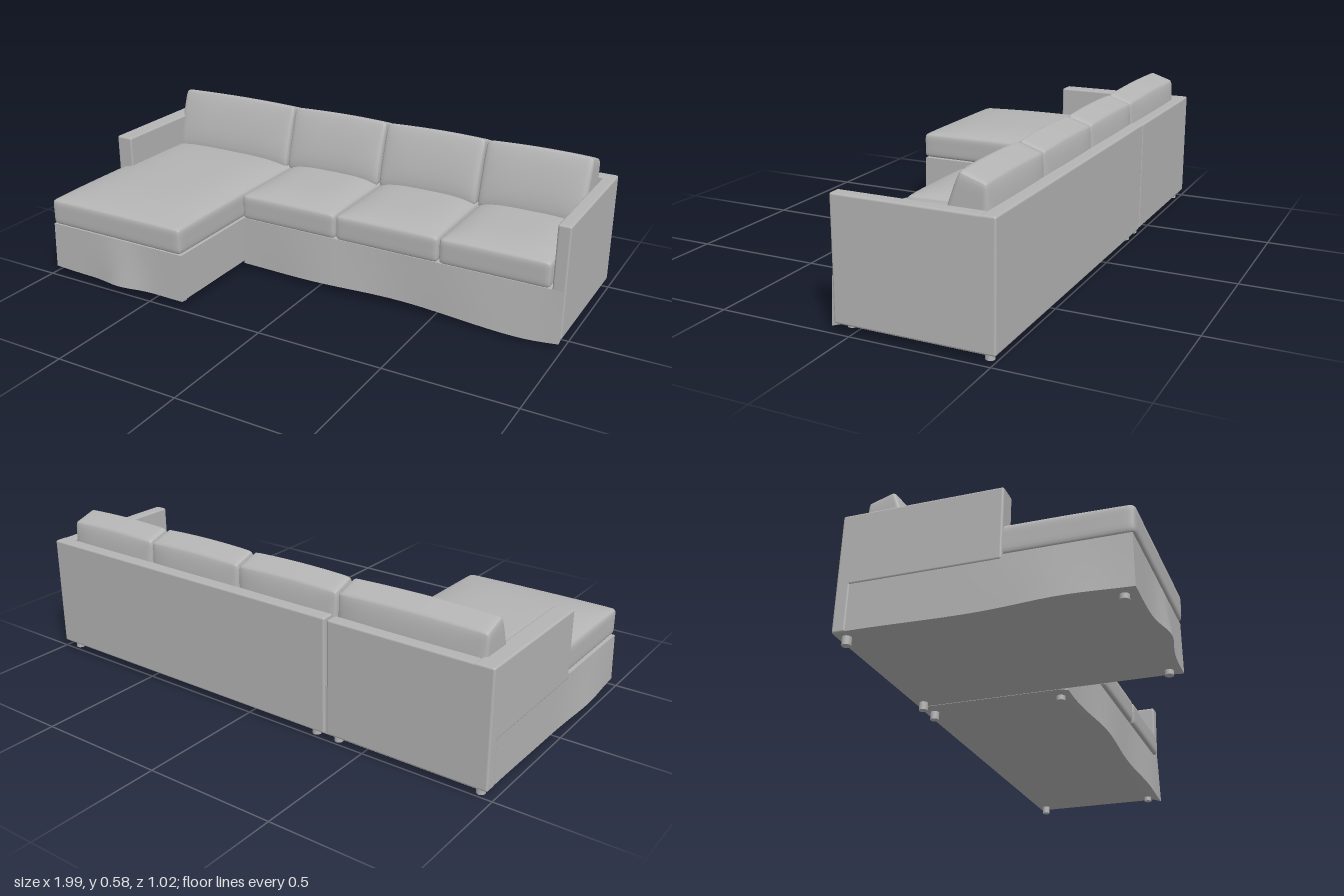
import * as THREE from 'three';
import { mergeVertices } from 'three/addons/utils/BufferGeometryUtils.js';
import { RoundedBoxGeometry } from 'three/addons/geometries/RoundedBoxGeometry.js';

const fabric = new THREE.MeshStandardMaterial({ color: 0xb4b4b4 });
fabric.name = 'grey fabric';

// Move every vertex of a geometry by a rule
function warp(geo, rule) {
  const p = geo.attributes.position, v = new THREE.Vector3();
  for (let i = 0; i < p.count; i++) {
    rule(v.fromBufferAttribute(p, i));
    p.setXYZ(i, v.x, v.y, v.z);
  }
  geo.computeVertexNormals();
  return geo;
}

function part(group, name, geo) {
  const mesh = new THREE.Mesh(geo, fabric);
  mesh.name = name;
  group.add(mesh);
  return mesh;
}

// Stuffed block between two corners: rounded edges, then a shaping rule given unit coordinates
function cushion([x0, x1], [y0, y1], [z0, z1], r, shape) {
  let geo = new THREE.BoxGeometry(2, 2, 2, 20, 10, 20);
  geo.deleteAttribute('uv');
  geo.deleteAttribute('normal');
  geo = mergeVertices(geo);
  const half = new THREE.Vector3(x1 - x0, y1 - y0, z1 - z0).multiplyScalar(0.5);
  const mid = new THREE.Vector3(x0 + x1, y0 + y1, z0 + z1).multiplyScalar(0.5);
  const core = half.clone().subScalar(r), low = core.clone().negate();
  const ease = t => Math.sin(t * Math.PI / 2);
  return warp(geo, v => {
    v.set(ease(v.x), ease(v.y), ease(v.z)).multiply(half);
    const inner = v.clone().clamp(low, core);
    v.sub(inner).normalize().multiplyScalar(r).add(inner);
    const u = v.clone().divide(half);
    v.add(mid);
    shape(v, u);
  });
}

// Plain upholstered slab between two corners
function slab([x0, x1], [y0, y1], [z0, z1]) {
  return new RoundedBoxGeometry(x1 - x0, y1 - y0, z1 - z0, 2, 0.008)
    .translate((x0 + x1) / 2, (y0 + y1) / 2, (z0 + z1) / 2);
}

// Base with a loose skirt: the rule gets t = 0 at the top and 1 at the hem
function skirt([x0, x1], [y0, y1], [z0, z1], rule) {
  const geo = new THREE.BoxGeometry(x1 - x0, y1 - y0, z1 - z0, 32, 6, 24)
    .translate((x0 + x1) / 2, (y0 + y1) / 2, (z0 + z1) / 2);
  return warp(geo, v => rule(v, (y1 - v.y) / (y1 - y0), v.z > z1 - 1e-4, v.x < x0 + 1e-4));
}

export function createModel() {
  const sofa = new THREE.Group();
  sofa.name = 'sectionalSofa';

  // Skirted bases
  part(sofa, 'sofaBase', skirt([-0.35, 0.985], [0.03, 0.22], [-0.505, 0.062], (v, t, front) => {
    if (!front) return;
    const x = v.x;
    v.z += t * (0.014 + 0.008 * Math.sin(x * 9 + 1));
    v.y -= t * t * (0.004 + 0.014 * Math.exp(-((x - 0.9) ** 2) / 0.03) - 0.006 * Math.sin(x * 7));
  }));
  part(sofa, 'chaiseBase', skirt([-0.982, -0.353], [0.03, 0.217], [-0.505, 0.478], (v, t, front, left) => {
    const x = v.x, z = v.z;
    if (front) v.z += t * (0.006 + 0.026 * Math.exp(-((x + 0.64) ** 2) / 0.01));
    if (left) v.x -= t * 0.015 * Math.exp(-((z - 0.25) ** 2) / 0.03);
    if (front || left) v.y += t * 0.003 * Math.sin(x * 14 + z * 8);
  }));

  // Back panels, split at the joint between the two units
  part(sofa, 'sofaBack', slab([-0.349, 0.99], [0.03, 0.468], [-0.512, -0.46]));
  part(sofa, 'chaiseBack', slab([-0.985, -0.357], [0.03, 0.464], [-0.509, -0.46]));

  // Arms: full height on the sofa, resting on the base on the chaise
  part(sofa, 'leftArm', slab([0.94, 0.99], [0.03, 0.467], [-0.512, 0.062]));
  part(sofa, 'rightArm', slab([-0.985, -0.912], [0.2, 0.465], [-0.509, 0.062]));

  // Seat cushions with a soft crown
  const crown = amount => (v, u) => {
    const c = (1 - u.x ** 4) * (1 - u.z ** 4);
    if (u.y > 0) v.y += amount * c * u.y;
  };
  part(sofa, 'chaiseSeat', cushion([-0.978, -0.352], [0.219, 0.324], [-0.46, 0.486], 0.018, crown(0.032)));
  const seams = [-0.35, 0.077, 0.508, 0.937];
  for (let i = 0; i < 3; i++) {
    part(sofa, 'seatCushion' + (i + 1),
      cushion([seams[i] + 0.002, seams[i + 1] - 0.002], [0.222, 0.324], [-0.46, 0.076], 0.018, crown(0.026)));
  }

  // Leaning back cushions: thick at the bottom, narrow and sloped at the top
  const lean = (v, u) => {
    const t = (u.y + 1) / 2;
    const front = -0.283 - 0.077 * t ** 1.4, back = -0.462 + 0.008 * t;
    v.z = (front + back) / 2 + u.z * (front - back) / 2;
    const bulge = (1 - u.x ** 4) * (1 - u.y ** 2);
    v.z += 0.012 * bulge * u.z;
    if (u.y > 0) v.y += u.y * (0.016 * u.z + 0.006 * (1 - u.x ** 2));
  };
  const backs = [-0.932, -0.36, 0.076, 0.506, 0.934];
  for (let i = 0; i < 4; i++) {
    part(sofa, 'backCushion' + (i + 1),
      cushion([backs[i] + 0.003, backs[i + 1] - 0.003], [0.32, 0.558], [-0.46, -0.3], 0.018, lean));
  }

  // Small round feet
  const feet = [[-0.945, 0.44], [-0.385, 0.44], [-0.945, -0.473], [-0.385, -0.473],
    [-0.29, -0.473], [0.945, -0.473], [-0.29, 0.02], [0.945, 0.02]];
  for (const [x, z] of feet) {
    const h = z > 0 ? 0.025 : 0.035;
    const y0 = z > 0 ? 0.012 : 0;
    part(sofa, 'foot', new THREE.CylinderGeometry(0.016, 0.016, h, 16)).position.set(x, y0 + h / 2, z);
  }
  return sofa;
}
